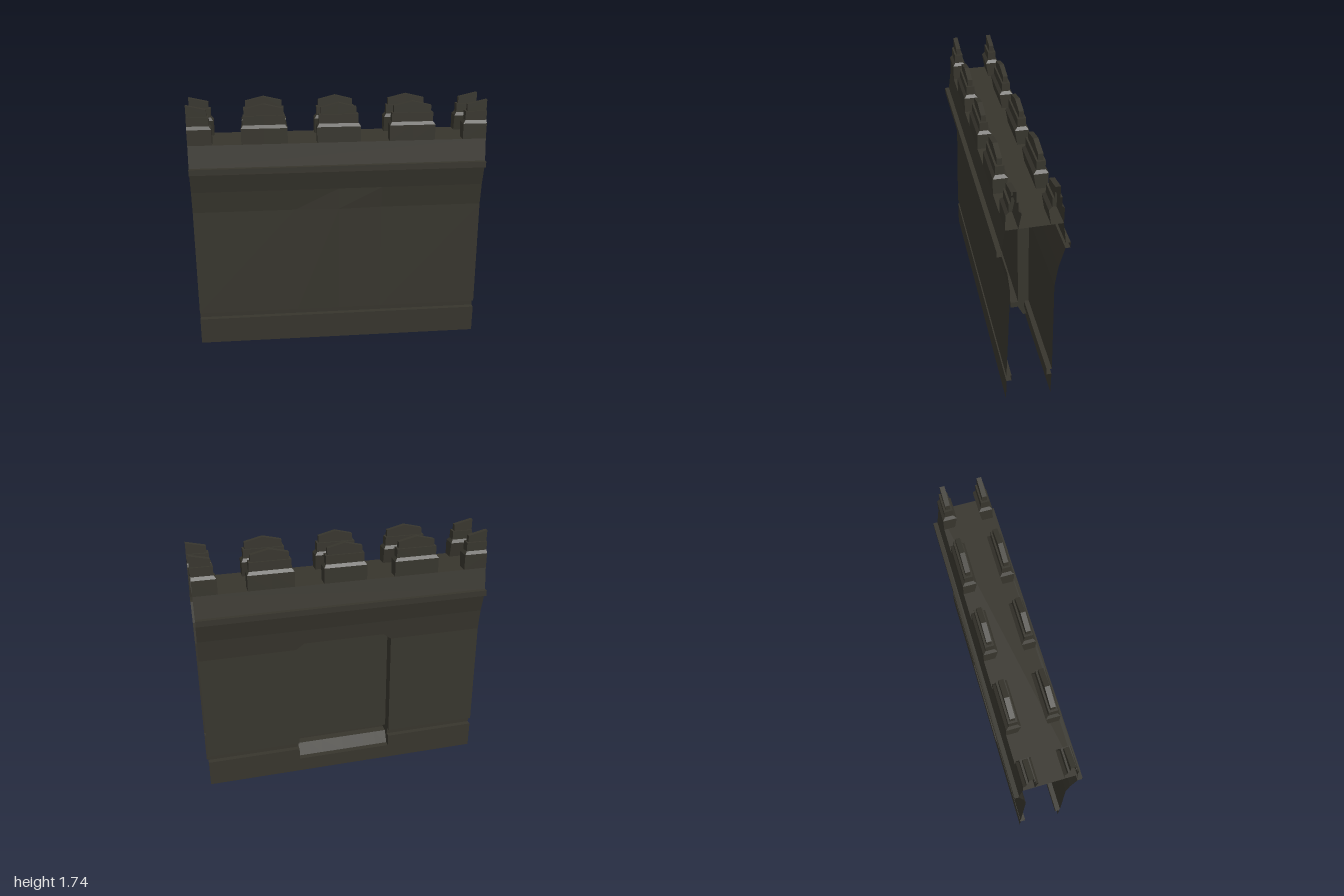
import * as THREE from 'three';

const stone = new THREE.MeshStandardMaterial({ color: 0x37352d, side: THREE.DoubleSide, flatShading: true });
stone.name = 'darkStone';

// Sheet through rows of [x, y, z] points
function sheet(name, rows) {
  const pos = [];
  for (let i = 0; i < rows.length - 1; i++) {
    for (let j = 0; j < rows[i].length - 1; j++) {
      const a = rows[i][j], b = rows[i][j + 1], c = rows[i + 1][j + 1], d = rows[i + 1][j];
      pos.push(...a, ...b, ...c, ...a, ...c, ...d);
    }
  }
  const g = new THREE.BufferGeometry();
  g.setAttribute('position', new THREE.Float32BufferAttribute(pos, 3));
  g.computeVertexNormals();
  const mesh = new THREE.Mesh(g, stone);
  mesh.name = name;
  return mesh;
}

// Sweep a [y, z] profile along x stations
const sweep = (name, profile, xs, s = 1) =>
  sheet(name, profile.map(([y, z]) => xs.map((x) => [x, y, z * s])));

// Wall section [y, z] from ground to cornice, then the cornice and parapet
const WALL = [[0, 0.155], [0.19, 0.155], [0.19, 0.12], [0.24, 0.12], [0.24, 0.155], [1, 0.137], [1.15, 0.155], [1.29, 0.19]];
const PARAPET = [[1.29, 0.19], [1.29, 0.22], [1.33, 0.22], [1.33, 0.19], [1.48, 0.17]];

function wallZ(y) {
  for (let i = 4; i < WALL.length - 1; i++) {
    const [y0, z0] = WALL[i], [y1, z1] = WALL[i + 1];
    if (y <= y1) return z0 + (z1 - z0) * (y - y0) / (y1 - y0);
  }
  return 0.19;
}

// Front wall, slightly fuller in the middle
function frontWall() {
  const xs = [-1, -0.3, 0, 0.3, 1];
  return sheet('frontWall', WALL.map(([y, z]) => xs.map((x) => [x, y, x === 0 && y === 1 ? 0.152 : z])));
}

// Back wall with a recessed arched niche
function backWall() {
  const g = new THREE.Group();
  g.name = 'backWall';
  const half = 0.34, depth = 0.08;
  const arch = [[-half, 1], [-0.25, 1.07], [-0.16, 1.13], [0, 1.15], [0.16, 1.13], [0.25, 1.07], [half, 1]];
  const xs = arch.map((p) => p[0]);

  for (const s of [-1, 1]) g.add(sweep('backWallSide', WALL, [s, s * half], -1));
  g.add(sweep('nicheBase', [[0, 0.155], [0.105, 0.155]], xs, -1));

  // Wall above the arch
  g.add(sheet('wallOverArch', [
    arch.map(([x, y]) => [x, y, -wallZ(y)]),
    arch.map(([x]) => [x, 1.15, -wallZ(1.15)]),
    arch.map(([x]) => [x, 1.29, -0.19]),
  ]));

  // Niche sill, groove and back panel
  const outer = [[0.105, 0.155], [0.19, 0.155], [0.19, 0.12], [0.24, 0.12], [0.24, 0.155], [1, 0.137]];
  const inner = [[0.105, 0.115], [0.19, 0.075], [0.19, 0.02], [0.24, 0.02], [0.24, 0.075], [1, 0.057]];
  g.add(sweep('nicheBack', [[0.105, 0.155], ...inner], xs, -1));
  const deep = arch.map(([x, y]) => [x, y, -wallZ(y) + depth]);
  g.add(sheet('nicheArchBack', [xs.map((x) => [x, 1, -0.057]), deep]));

  // Niche sides and arch soffit
  for (const s of [-1, 1]) {
    g.add(sheet('nicheJamb', [outer, inner].map((p) => p.map(([y, z]) => [s * half, y, -z]))));
  }
  g.add(sheet('archSoffit', [arch.map(([x, y]) => [x, y, -wallZ(y)]), deep]));
  return g;
}

// Merlon levels: [y, side inset, inner z, outer z, extra height at the peak]
const LEVELS = [
  [1.48, 0, 0.095, 0.17, 0],
  [1.585, 0, 0.077, 0.17, 0],
  [1.605, 0.015, 0.096, 0.153, 0],
  [1.665, 0.015, 0.096, 0.153, 0],
  [1.665, 0.028, 0.108, 0.14, 0],
  [1.71, 0.028, 0.108, 0.14, 0.03],
  [1.71, 0.028, 0.124, 0.124, 0.03],
];

// Full stepped merlon with a peaked top
function merlon(x0, x1, s) {
  const xm = (x0 + x1) / 2;
  return sheet('merlon', LEVELS.map(([y, d, zi, zo, p]) => [
    [x0 + d, y, zi * s], [x0 + d, y, zo * s], [xm, y + p, zo * s], [x1 - d, y, zo * s],
    [x1 - d, y, zi * s], [xm, y + p, zi * s], [x0 + d, y, zi * s],
  ]));
}

// Half merlon, open at the end of the wall
function endMerlon(side, s) {
  return sheet('endMerlon', LEVELS.map(([y, d, zi, zo, p]) => [
    [side, y + p, zi * s], [side * (0.84 + d), y, zi * s],
    [side * (0.84 + d), y, zo * s], [side, y + p, zo * s],
  ]));
}

export function createModel() {
  const model = new THREE.Group();
  model.name = 'castleWall';
  model.add(frontWall(), backWall());
  model.add(sheet('walkway', [[[-1, 1.48, 0.17], [1, 1.48, 0.17]], [[-1, 1.48, -0.17], [1, 1.48, -0.17]]]));
  for (const s of [-1, 1]) {
    model.add(sweep('corniceAndParapet', PARAPET, [-1, 1], s));
    for (const [a, b] of [[-0.648, -0.342], [-0.147, 0.145], [0.34, 0.648]]) model.add(merlon(a, b, s));
    for (const side of [-1, 1]) model.add(endMerlon(side, s));
  }
  return model;
}
